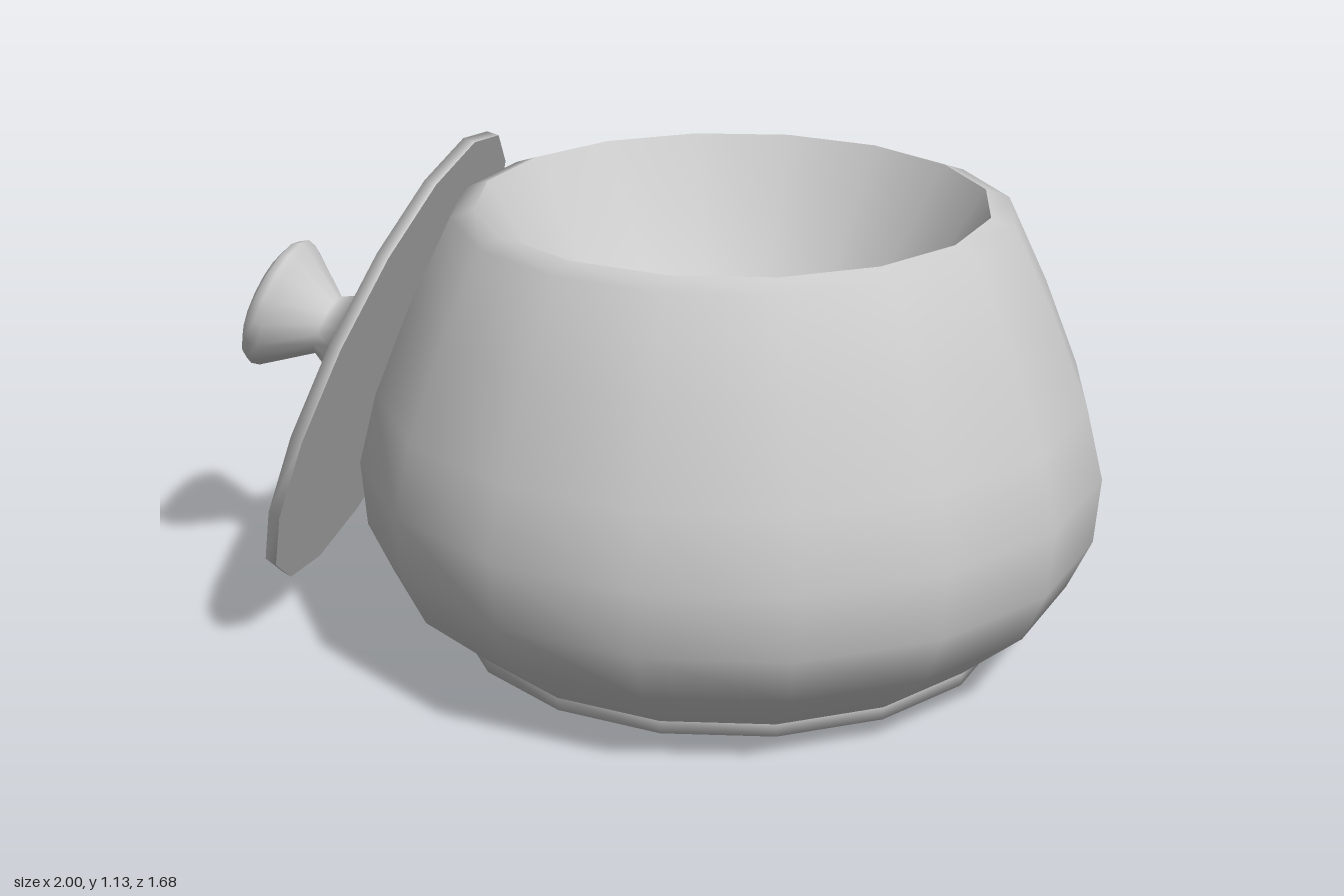
import * as THREE from 'three';

const SIDES = 16;

export function createModel() {
  const clay = new THREE.MeshStandardMaterial({ color: 0xcccccc });
  clay.name = 'paleGrey';

  // Each profile is a smooth strip; separate strips keep the edges between them sharp
  const turn = (parent, name, profile) => {
    const points = profile.map(([r, y]) => new THREE.Vector2(r, y));
    const mesh = new THREE.Mesh(new THREE.LatheGeometry(points, SIDES), clay);
    mesh.name = name;
    parent.add(mesh);
  };

  const model = new THREE.Group();
  model.name = 'lidded pot';

  // Pot: foot with rounded edge, bulging wall with bevelled rim, and a dished inside
  const pot = new THREE.Group();
  pot.name = 'pot';
  pot.position.x = 0.16;
  turn(pot, 'foot', [[0, 0], [0.56, 0], [0.628, 0.03], [0.63, 0.06]]);
  turn(pot, 'wall', [
    [0.63, 0.06], [0.775, 0.185], [0.828, 0.3], [0.84, 0.45],
    [0.8, 0.61], [0.72, 0.81], [0.625, 1.01], [0.57, 1.03],
  ]);
  const dish = [];
  for (let i = 6; i >= 0; i--) {
    const t = i / 6;
    dish.push([0.57 * t, 0.53 + 0.5 * t * t]);
  }
  turn(pot, 'inside', dish);
  model.add(pot);

  // Lid: leaning against the pot, with a turned knob
  const lid = new THREE.Group();
  lid.name = 'lid';
  lid.position.set(-0.648, 0.588, 0);
  lid.rotation.z = 1.192;
  turn(lid, 'lidUnderside', [[0, 0], [0.57, 0]]);
  turn(lid, 'lidTopAndKnob', [
    [0.57, 0], [0.567, 0.028], [0.33, 0.079], [0.096, 0.13], [0.073, 0.174],
    [0.154, 0.282], [0.159, 0.302], [0.146, 0.322], [0.115, 0.336], [0, 0.338],
  ]);
  model.add(lid);

  return model;
}
